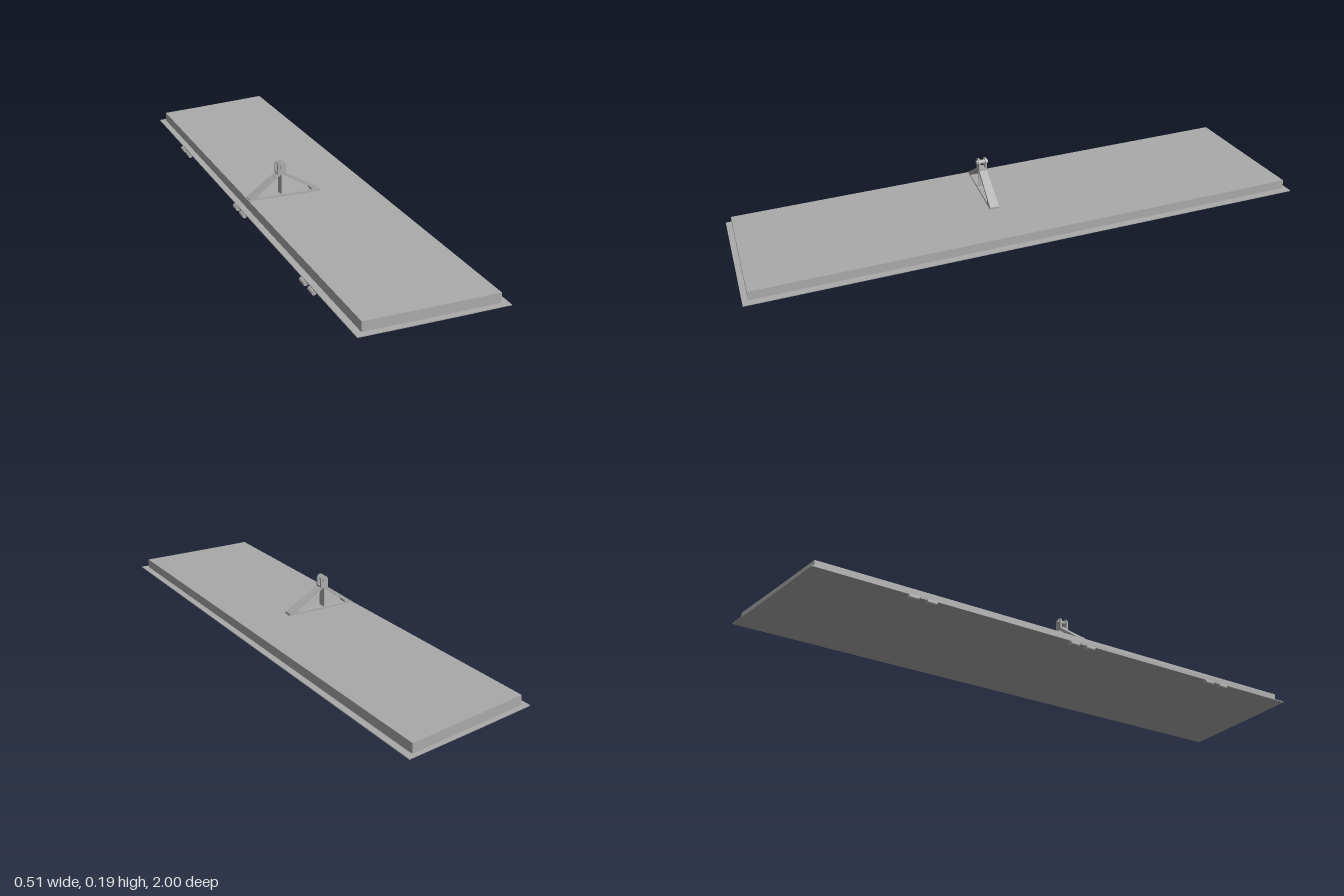
import * as THREE from 'three';

const SLOPE = 0.0195;
// Gently bowed surface, climbing toward the back
const surfaceY = (x, z) => 0.0093 - 0.0115 * x + 0.012 * x * x + SLOPE * (1 - z);

// Slab following the bowed surface, with a slanted back edge
function slab(x0, x1, front, backLeft, backRight, low, high) {
  const geo = new THREE.BoxGeometry(1, 1, 1, 16, 1, 1);
  const p = geo.attributes.position;
  for (let i = 0; i < p.count; i++) {
    const u = p.getX(i) + 0.5;
    const x = x0 + (x1 - x0) * u;
    const back = backLeft + (backRight - backLeft) * u;
    const z = p.getZ(i) > 0 ? front : back;
    p.setXYZ(i, x, surfaceY(x, z) + (p.getY(i) > 0 ? high : low), z);
  }
  geo.computeVertexNormals();
  return geo;
}

const outline = (pts, Type) => new Type(pts.map(([x, y]) => new THREE.Vector2(x, y)));

// Closed path with rounded corners
function roundedPath(pts, r) {
  const path = new THREE.Path();
  const v = pts.map(([x, y]) => new THREE.Vector2(x, y));
  v.forEach((c, i) => {
    const a = v[(i + v.length - 1) % v.length], b = v[(i + 1) % v.length];
    const s = c.clone().add(a.clone().sub(c).setLength(r));
    const e = c.clone().add(b.clone().sub(c).setLength(r));
    if (i === 0) path.moveTo(s.x, s.y); else path.lineTo(s.x, s.y);
    path.quadraticCurveTo(c.x, c.y, e.x, e.y);
  });
  path.closePath();
  return path;
}

export function createModel() {
  const grey = new THREE.MeshStandardMaterial({ color: 0xaaaaaa });
  grey.name = 'plain grey';
  const model = new THREE.Group();
  model.name = 'hingedPanel';
  const add = (name, geo, parent = model) => {
    const mesh = new THREE.Mesh(geo, grey);
    mesh.name = name;
    parent.add(mesh);
    return mesh;
  };

  // Thin outer skin and the thicker inner body
  add('outerSkin', slab(-0.25, 0.255, 1, -0.915, -1, -0.003, 0));
  add('innerBody', slab(-0.227, 0.231, 0.98, -0.9, -0.98, -0.001, 0.034));

  // Triangular actuator bracket
  const bracket = new THREE.Group();
  bracket.name = 'actuatorBracket';
  model.add(bracket);
  const cx = -0.102, zc = 0.082, half = 0.017;
  const frame = outline([
    [-0.222, 0.061], [0.045, 0.058], [0.045, 0.069], [-0.087, 0.146],
    [-0.087, 0.152], [-0.117, 0.152], [-0.117, 0.145], [-0.222, 0.069],
  ], THREE.Shape);
  frame.holes.push(
    roundedPath([[-0.194, 0.0685], [-0.104, 0.0685], [-0.104, 0.145], [-0.111, 0.138], [-0.187, 0.08]], 0.004),
    roundedPath([[-0.1, 0.0685], [0.01, 0.0675], [0.01, 0.078], [-0.093, 0.139], [-0.1, 0.145]], 0.004),
  );
  const frameGeo = new THREE.ExtrudeGeometry(frame, { depth: 2 * half, bevelEnabled: false, curveSegments: 5 });
  frameGeo.translate(0, 0, -half);
  // Narrow the frame slightly toward the top
  const p = frameGeo.attributes.position;
  for (let i = 0; i < p.count; i++) p.setZ(i, p.getZ(i) * (1 - 2 * (p.getY(i) - 0.06)));
  frameGeo.translate(0, 0, zc);
  frameGeo.computeVertexNormals();
  add('bracketFrame', frameGeo, bracket);

  // Fork cheeks with rounded tops
  const cheek = new THREE.Shape();
  cheek.moveTo(cx - 0.015, 0.145);
  cheek.lineTo(cx + 0.015, 0.145);
  cheek.lineTo(cx + 0.015, 0.175);
  cheek.absarc(cx, 0.175, 0.015, 0, Math.PI, false);
  cheek.closePath();
  for (const side of [-1, 1]) {
    const geo = new THREE.ExtrudeGeometry(cheek, { depth: 0.006, bevelEnabled: false, curveSegments: 16 });
    geo.translate(0, 0, zc + side * 0.0125 - 0.003);
    add(side < 0 ? 'backCheek' : 'frontCheek', geo, bracket);
  }

  // Pin through the fork
  const pin = add('forkPin', new THREE.CylinderGeometry(0.008, 0.008, 0.042, 16), bracket);
  pin.rotation.x = Math.PI / 2;
  pin.position.set(cx, 0.175, zc);

  // Three hinges, each a pair of knuckles under a thin leaf
  for (const z of [0.66, 0.067, -0.543]) {
    const hinge = new THREE.Group();
    hinge.name = 'hinge';
    hinge.position.set(-0.25, surfaceY(-0.25, z) - 0.0115, z);
    hinge.rotation.x = Math.atan(SLOPE);
    model.add(hinge);
    for (const dz of [-0.032, 0.032]) {
      const knuckle = add('knuckle', new THREE.CylinderGeometry(0.008, 0.008, 0.035, 16), hinge);
      knuckle.rotation.x = Math.PI / 2;
      knuckle.position.z = dz;
    }
    const leaf = add('hingeLeaf', new THREE.BoxGeometry(0.012, 0.003, 0.1), hinge);
    leaf.position.set(0.007, 0.0075, 0);
  }
  return model;
}
